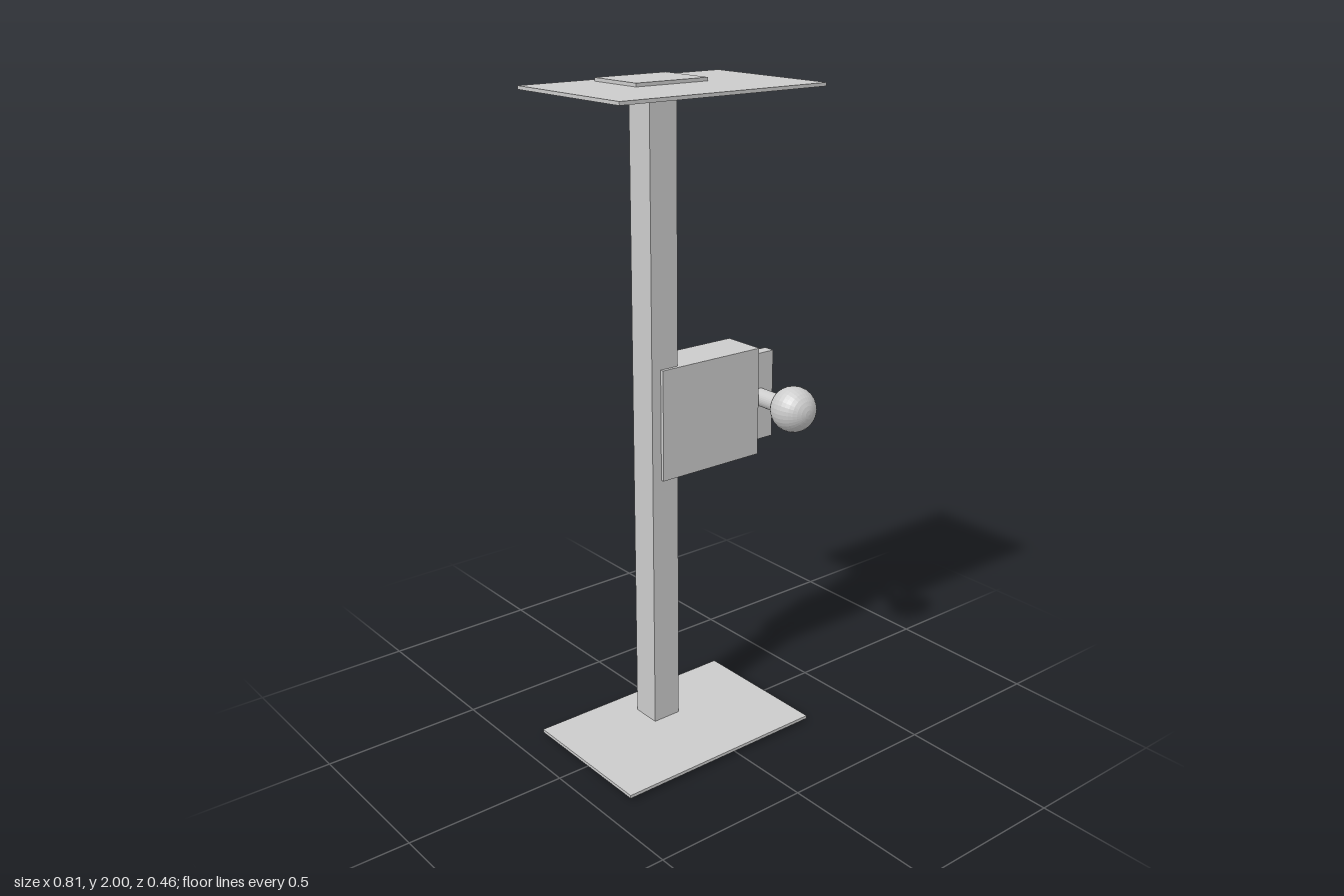
import * as THREE from 'three';

export function createModel() {
  const model = new THREE.Group();
  const material = new THREE.MeshStandardMaterial({ color: 0xcccccc, flatShading: true });

  const add = (name, geometry, x, y, z) => {
    const mesh = new THREE.Mesh(geometry, material);
    mesh.name = name;
    mesh.position.set(x, y, z);
    model.add(mesh);
    return mesh;
  };
  // Box given by its [min, max] extent on each axis
  const box = (name, [x0, x1], [y0, y1], [z0, z1]) =>
    add(name, new THREE.BoxGeometry(x1 - x0, y1 - y0, z1 - z0),
      (x0 + x1) / 2, (y0 + y1) / 2, (z0 + z1) / 2);

  // Square post
  box('post', [-0.105, -0.01], [0.02, 1.98], [-0.14, -0.047]);

  // Wide plate with a small outer pad, mirrored at both ends of the post
  for (const [end, flip] of [['bottom', (y) => y], ['top', (y) => 2 - y]]) {
    const span = (a, b) => [flip(a), flip(b)].sort((p, q) => p - q);
    box(end + 'Plate', [-0.406, 0.291], span(0.01, 0.02), [-0.23, 0.228]);
    box(end + 'Pad', [-0.182, 0.065], span(0, 0.01), [-0.192, -0.003]);
  }

  // Case across the post, with a narrow plate on its end
  box('case', [-0.073, 0.299], [0.832, 1.176], [-0.177, -0.036]);
  box('endPlate', [0.297, 0.387], [0.864, 1.146], [-0.107, -0.07]);

  // Knob: neck and ball, both along z
  const neck = add('knobNeck', new THREE.CylinderGeometry(0.028, 0.028, 0.11, 32), 0.334, 1.004, -0.02);
  const ball = add('knobBall', new THREE.SphereGeometry(0.071, 32, 16), 0.334, 1.004, 0.085);
  neck.rotation.x = ball.rotation.x = Math.PI / 2;

  return model;
}
